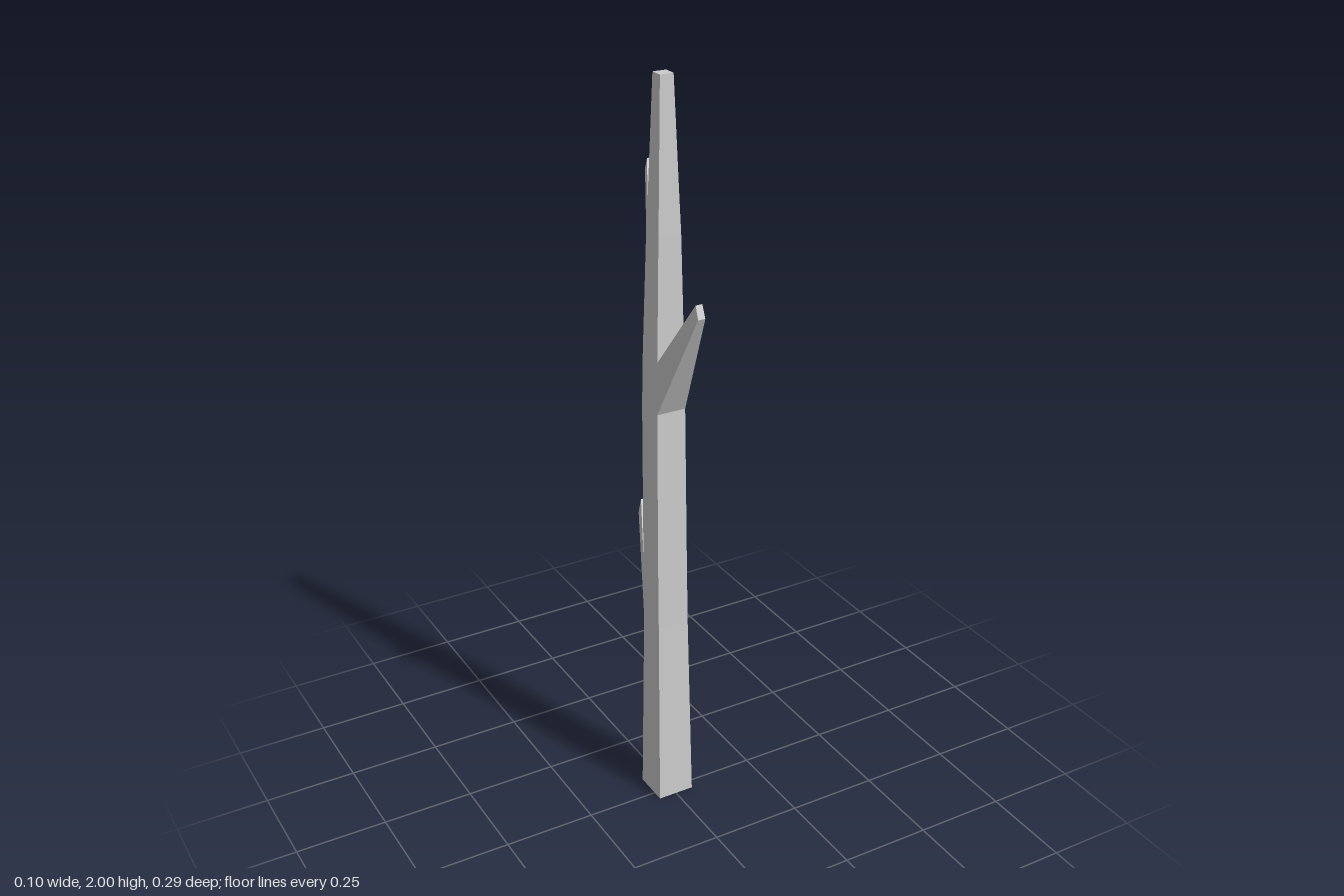
import * as THREE from 'three';

const material = new THREE.MeshStandardMaterial({ color: 0xcccccc, flatShading: true });

// Skins a list of four-cornered rings into a closed, faceted solid.
function loft(name, rings) {
  const pos = [];
  const quad = (a, b, c, d) => pos.push(...a, ...b, ...c, ...a, ...c, ...d);
  for (let r = 0; r < rings.length - 1; r++) {
    for (let i = 0; i < 4; i++) {
      const j = (i + 1) % 4;
      quad(rings[r][i], rings[r][j], rings[r + 1][j], rings[r + 1][i]);
    }
  }
  quad(...[...rings[0]].reverse());
  quad(...rings[rings.length - 1]);
  const geo = new THREE.BufferGeometry();
  geo.setAttribute('position', new THREE.Float32BufferAttribute(pos, 3));
  geo.computeVertexNormals();
  const mesh = new THREE.Mesh(geo, material);
  mesh.name = name;
  return mesh;
}

// Horizontal trunk section: height, half width, front z, back z.
const trunkRing = ([y, w, f, b]) => [[w, y, f], [w, y, b], [-w, y, b], [-w, y, f]];

// Branch section from a lower and an upper edge, each [half width, y, z].
const branchRing = (side, [w0, y0, z0], [w1, y1, z1]) => [
  [side * w0, y0, z0], [side * w1, y1, z1], [-side * w1, y1, z1], [-side * w0, y0, z0],
];

export function createModel() {
  const group = new THREE.Group();
  group.name = 'bareTree';

  // Tapering, slightly bent trunk
  group.add(loft('trunk', [
    [0, 0.051, 0.03, -0.07],
    [0.54, 0.044, 0.014, -0.066],
    [0.72, 0.043, 0.01, -0.069],
    [1.16, 0.04, 0.003, -0.075],
    [1.3, 0.038, 0.001, -0.073],
    [1.62, 0.031, -0.004, -0.064],
    [1.7, 0.028, -0.007, -0.061],
    [2, 0.018, -0.018, -0.053],
  ].map(trunkRing)));

  // Stubby branches: side (+1 front, -1 back), root edges, tip edges
  const branches = [
    ['frontBranch', 1, [0.04, 1.16, 0.003], [0.038, 1.3, 0.001], [0.01, 1.457, 0.147], [0.009, 1.49, 0.134]],
    ['lowerBackBranch', -1, [0.044, 0.54, -0.066], [0.043, 0.72, -0.069], [0.014, 0.81, -0.147], [0.014, 0.855, -0.133]],
    ['upperBackBranch', -1, [0.031, 1.62, -0.064], [0.028, 1.7, -0.061], [0.011, 1.757, -0.104], [0.011, 1.785, -0.094]],
  ];
  for (const [name, side, low, high, tipLow, tipHigh] of branches) {
    group.add(loft(name, [branchRing(side, low, high), branchRing(side, tipLow, tipHigh)]));
  }
  return group;
}
